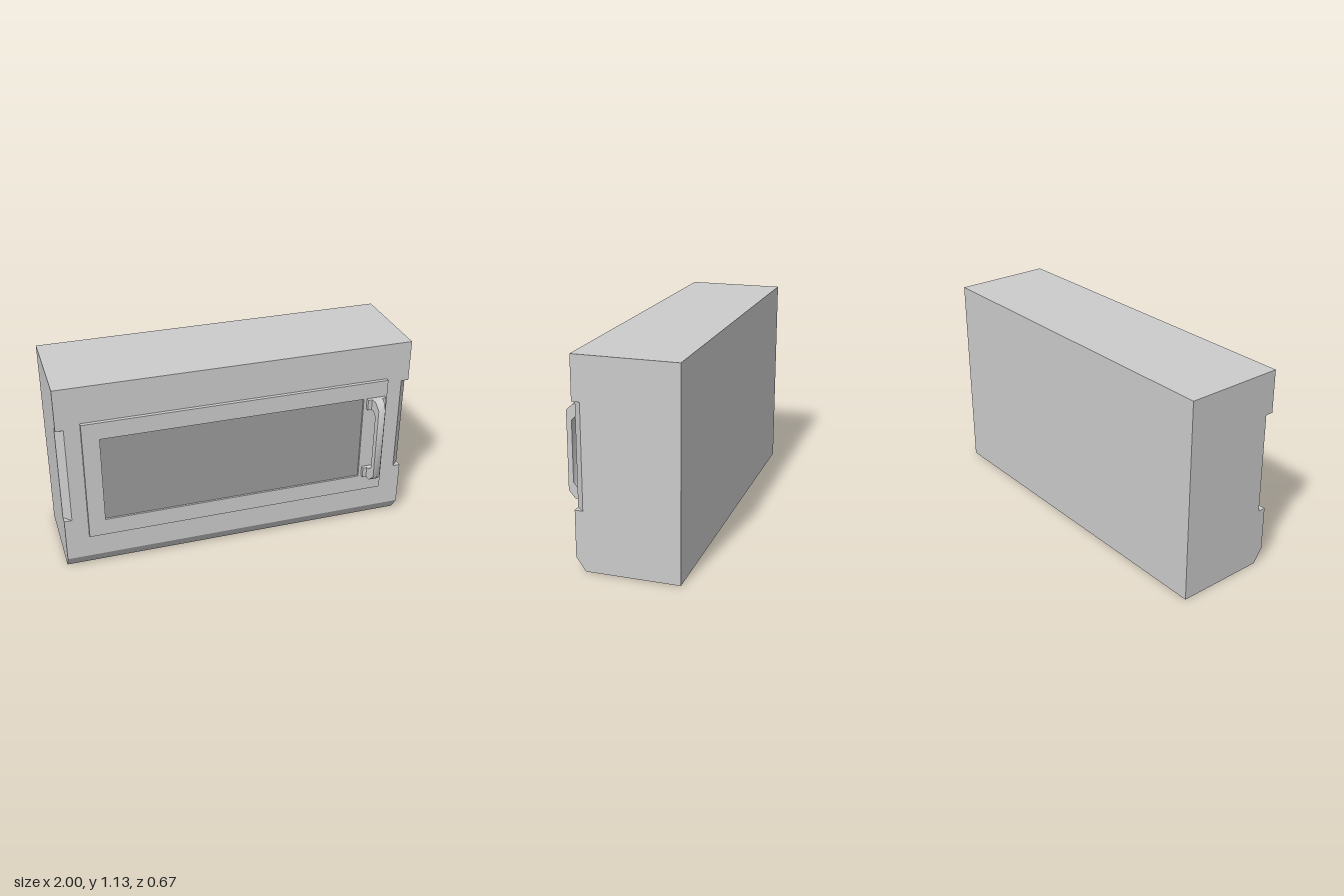
import * as THREE from 'three';
import { toCreasedNormals } from 'three/addons/utils/BufferGeometryUtils.js';

const grey = () => new THREE.MeshStandardMaterial({ color: 0xcccccc });

function add(parent, name, geometry, material = grey()) {
  const mesh = new THREE.Mesh(geometry, material);
  mesh.name = name;
  parent.add(mesh);
  return mesh;
}

const polygon = pts => new THREE.Shape(pts.map(([x, y]) => new THREE.Vector2(x, y)));

const rectangle = (x0, x1, y0, y1) => polygon([[x0, y0], [x1, y0], [x1, y1], [x0, y1]]);

// Extrudes a (z, y) side profile along x from x0 to x1
function extrudeX(profile, x0, x1) {
  const geometry = new THREE.ExtrudeGeometry(polygon(profile.map(([z, y]) => [-z, y])),
    { depth: x1 - x0, bevelEnabled: false });
  return geometry.rotateY(Math.PI / 2).translate(x0, 0, 0);
}

// Extrudes an (x, z) plan upwards from y0 to y1
function extrudeY(plan, y0, y1) {
  const geometry = new THREE.ExtrudeGeometry(polygon(plan.map(([x, z]) => [x, -z])),
    { depth: y1 - y0, bevelEnabled: false });
  return geometry.rotateX(-Math.PI / 2).translate(0, y0, 0);
}

export function createModel() {
  const model = new THREE.Group();
  model.name = 'microwaveOven';

  const back = -0.335, front = 0.222, top = 1.135;
  const gripLow = 0.33, gripHigh = 0.897, gripX = 0.957, gripZ = 0.178;

  // Casing: bottom with sloped front edge, grip band with bevelled corners, top
  const casing = new THREE.Group();
  casing.name = 'casing';
  model.add(casing);
  add(casing, 'casingBottom', extrudeX(
    [[back, 0], [0.17, 0], [front, 0.075], [front, gripLow], [back, gripLow]], -1, 1));
  add(casing, 'casingGripBand', extrudeY(
    [[-1, back], [1, back], [1, gripZ], [gripX, front], [-gripX, front], [-1, gripZ]],
    gripLow, gripHigh));
  add(casing, 'casingTop', extrudeX(
    [[back, gripHigh], [front, gripHigh], [front, top], [back, top]], -1, 1));

  // Door frame with a slightly recessed window
  const frame = rectangle(-0.87, 0.866, 0.215, 0.924);
  frame.holes.push(rectangle(-0.776, 0.725, 0.314, 0.825));
  add(model, 'doorFrame', new THREE.ExtrudeGeometry(frame, { depth: 0.021, bevelEnabled: false })
    .translate(0, 0, front));
  add(model, 'window', new THREE.PlaneGeometry(1.501, 0.511).translate(-0.0255, 0.5695, 0.232),
    new THREE.MeshStandardMaterial({ color: 0x9b9b9b }));

  // Handle: bracket profile, narrowing towards the front
  const handle = new THREE.Group();
  handle.name = 'handle';
  handle.position.x = 0.797;
  model.add(handle);
  const bar = extrudeX([
    [0.243, 0.314], [0.297, 0.314], [0.335, 0.354], [0.335, 0.788], [0.297, 0.826], [0.243, 0.826],
    [0.243, 0.763], [0.281, 0.763], [0.305, 0.738], [0.305, 0.402], [0.281, 0.377], [0.243, 0.377],
  ], -1, 1);
  const pos = bar.attributes.position;
  for (let i = 0; i < pos.count; i++) {
    const t = (pos.getZ(i) - 0.243) / 0.092;
    pos.setX(i, pos.getX(i) * THREE.MathUtils.lerp(0.034, 0.02, t));
  }
  add(handle, 'handleBar', toCreasedNormals(bar, 0.9));

  // Mounting pads at both ends of the handle
  for (const y of [0.3455, 0.7945]) {
    add(handle, 'handlePad', new THREE.BoxGeometry(0.108, 0.063, 0.021).translate(0, y, 0.2535));
  }

  return model;
}
